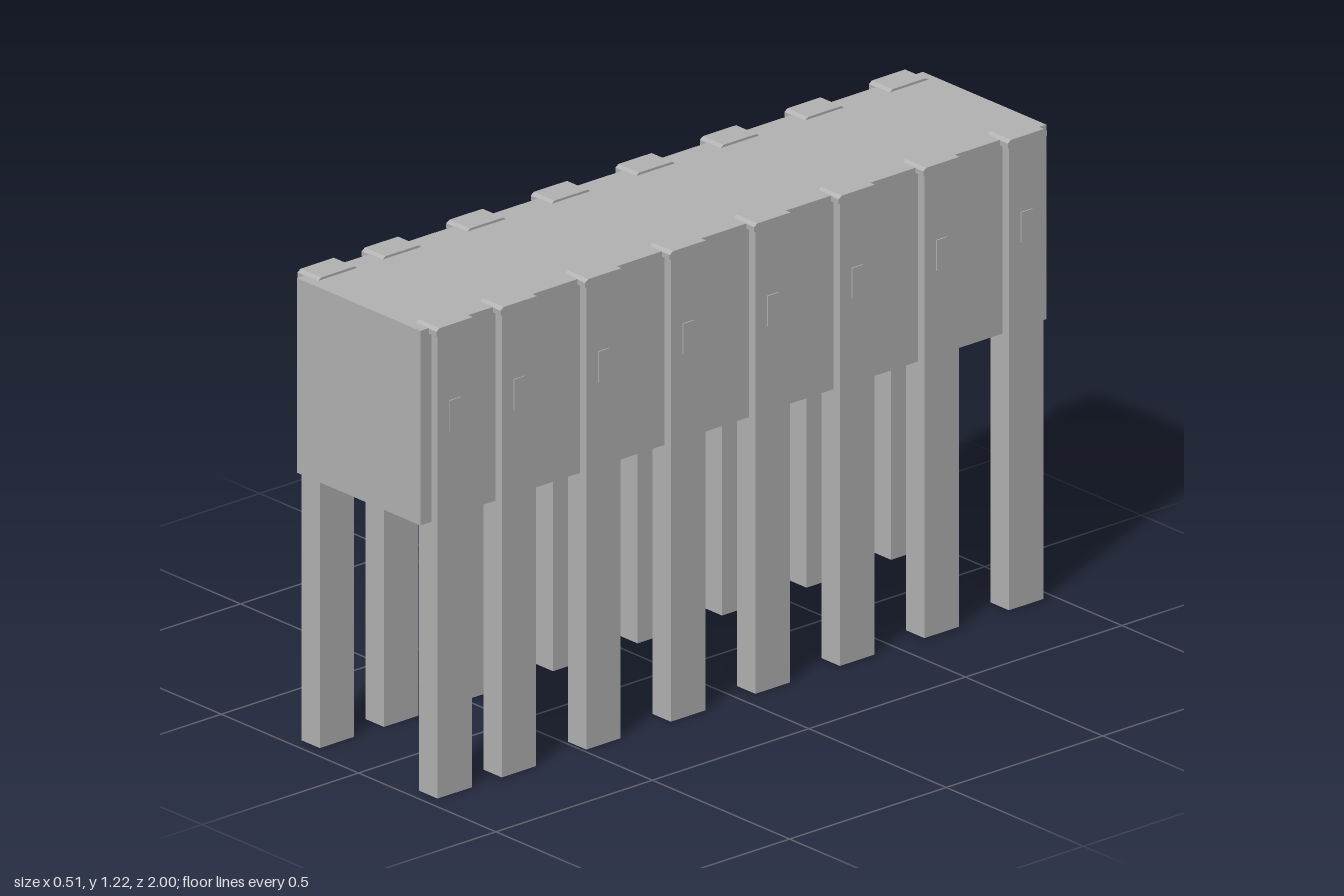
import * as THREE from 'three';

export function createModel() {
  const model = new THREE.Group();
  model.name = 'raisedTrough';
  const grey = new THREE.MeshStandardMaterial({ color: 0xb2b2b2 });
  grey.name = 'plain grey';

  const add = (parent, name, geometry, x, y, z) => {
    const mesh = new THREE.Mesh(geometry, grey);
    mesh.name = name;
    mesh.position.set(x, y, z);
    parent.add(mesh);
  };

  // Long closed body
  const bottom = 0.71, top = 1.214;
  add(model, 'body', new THREE.BoxGeometry(0.45, top - bottom, 2), 0, (top + bottom) / 2, 0);

  // Cap profile with chamfered upper edges, extruded across the post
  const profile = new THREE.Shape([
    [-0.063, 0], [0.063, 0], [0.063, 0.013], [0.053, 0.02], [-0.053, 0.02], [-0.063, 0.013],
  ].map(([x, y]) => new THREE.Vector2(x, y)));
  const capGeometry = new THREE.ExtrudeGeometry(profile, { depth: 0.075, bevelEnabled: false });
  capGeometry.translate(0, 0, -0.0375).rotateY(Math.PI / 2);

  const postGeometry = new THREE.BoxGeometry(0.067, 1.205, 0.11);
  const plateGeometry = new THREE.BoxGeometry(0.006, 0.08, 0.035);

  // Posts on both sides, each with its cap and small face plate
  for (const side of [-1, 1]) {
    for (const z of [0.91, 0.705, 0.435, 0.165, -0.105, -0.375, -0.645, -0.915]) {
      const support = new THREE.Group();
      support.name = side > 0 ? 'leftSupport' : 'rightSupport';
      support.position.z = z;
      add(support, 'post', postGeometry, side * 0.2145, 0.6025, 0);
      add(support, 'cap', capGeometry, side * 0.2155, 1.2, 0);
      add(support, 'plate', plateGeometry, side * 0.248, 0.982, 0);
      model.add(support);
    }
  }
  return model;
}
